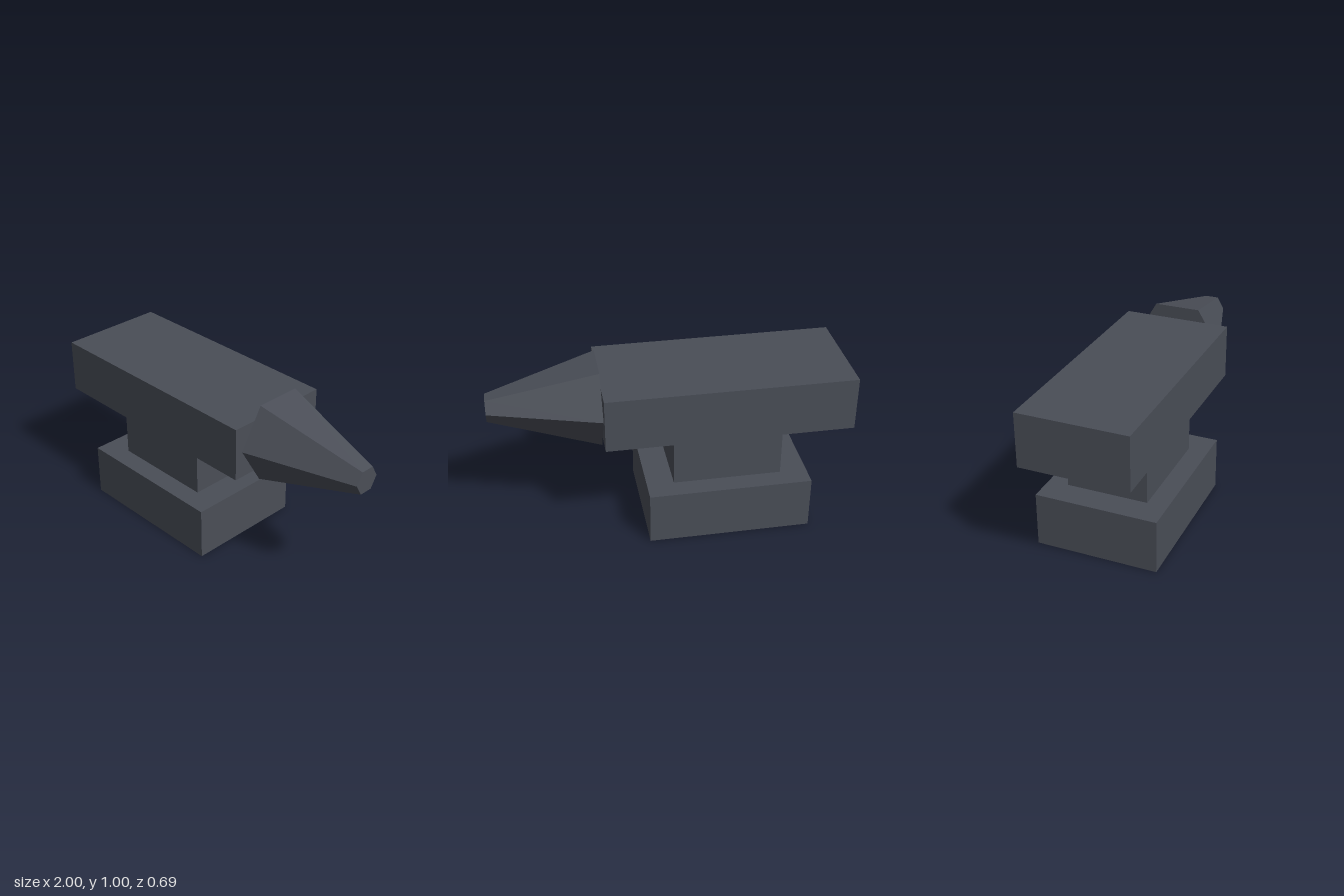
import * as THREE from 'three';

export function createModel() {
  const model = new THREE.Group();
  model.name = 'anvil';
  const iron = new THREE.MeshStandardMaterial({ color: 0x4a4e57 });
  iron.name = 'dark iron';

  const add = (name, geometry, x, y) => {
    const mesh = new THREE.Mesh(geometry, iron);
    mesh.name = name;
    mesh.position.set(x, y, 0);
    model.add(mesh);
  };

  // Three stacked blocks, each 4/13 tall
  const h = 4 / 13;
  add('base', new THREE.BoxGeometry(0.923, h, 0.692), -0.308, h * 0.5);
  add('waist', new THREE.BoxGeometry(0.615, h, 0.462), -0.308, h * 1.5);
  add('body', new THREE.BoxGeometry(1.385, h, 0.615), -0.308, h * 2.5);

  // Six-sided tapering horn pointing along +x
  const horn = new THREE.CylinderGeometry(0.077, 0.262, 0.615, 6)
    .rotateZ(-Math.PI / 2)
    .toNonIndexed();
  horn.computeVertexNormals();
  add('horn', horn, 0.6925, h * 2.5);

  return model;
}
